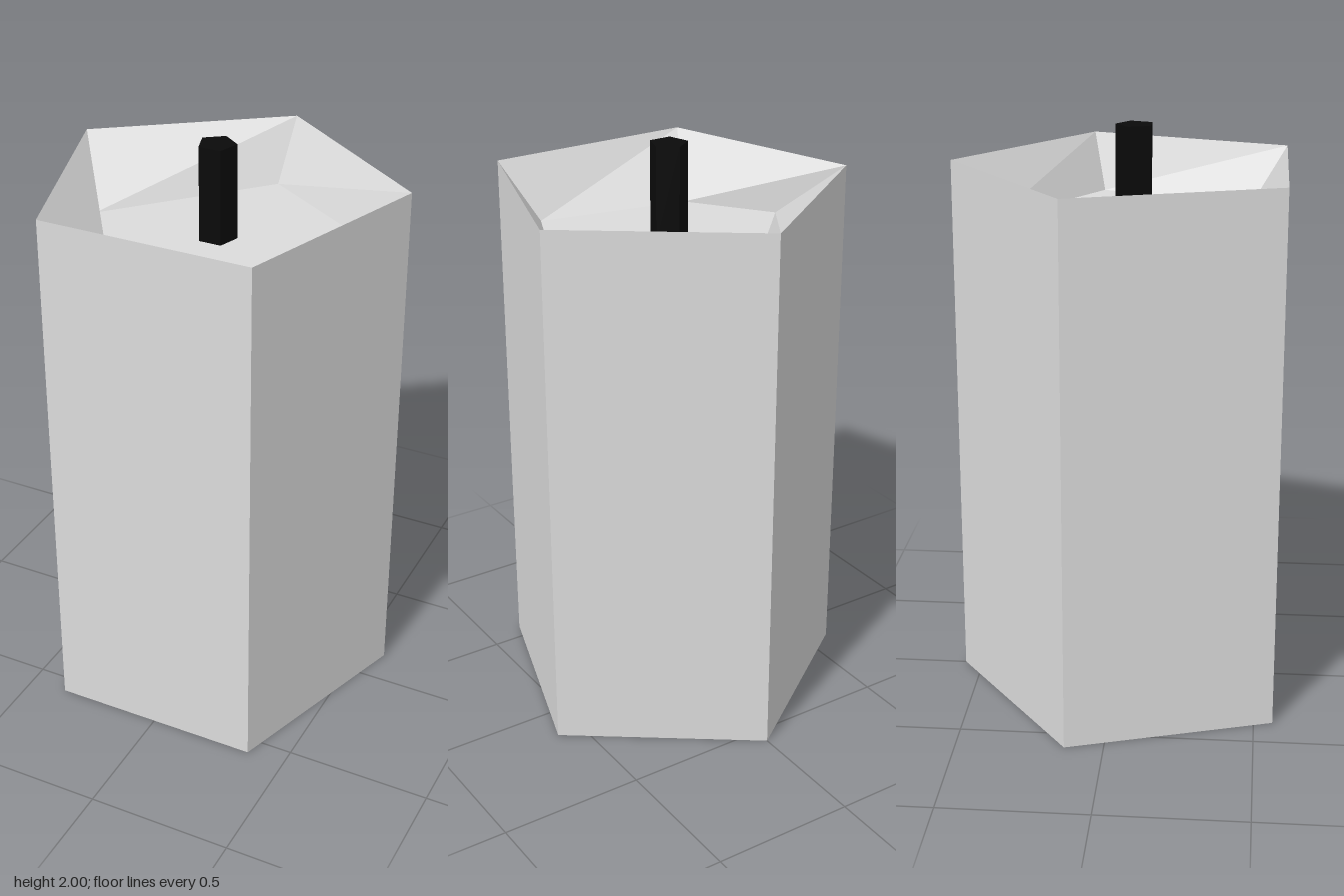
import * as THREE from 'three';

const SIDES = 5, RADIUS = 0.624, CENTRE_Z = 0.06;
const RIM_Y = 1.87, POOL_Y = 1.672, TOP_Y = 2;

// Regular pentagon with one corner to the back, counterclockwise from above
function pentagon(y) {
  return Array.from({ length: SIDES }, (_, i) => {
    const a = Math.PI + (i * 2 * Math.PI) / SIDES;
    return [RADIUS * Math.sin(a), y, CENTRE_Z + RADIUS * Math.cos(a)];
  });
}

// Flat-sided skin through successive rings, closed at the ends asked for
function skin(rings, { capStart = false, capEnd = false }) {
  const pos = [];
  const tri = (...corners) => corners.forEach((c) => pos.push(...c));
  for (let r = 0; r < rings.length - 1; r++) {
    const a = rings[r], b = rings[r + 1];
    for (let i = 0; i < SIDES; i++) {
      const j = (i + 1) % SIDES;
      tri(a[i], a[j], b[j]);
      tri(a[i], b[j], b[i]);
    }
  }
  const first = rings[0], last = rings[rings.length - 1];
  for (let i = 1; i < SIDES - 1; i++) {
    if (capStart) tri(first[0], first[i + 1], first[i]);
    if (capEnd) tri(last[0], last[i], last[i + 1]);
  }
  const geo = new THREE.BufferGeometry();
  geo.setAttribute('position', new THREE.Float32BufferAttribute(pos, 3));
  geo.computeVertexNormals();
  return geo;
}

export function createModel() {
  const model = new THREE.Group();
  model.name = 'candle';

  const wax = new THREE.MeshStandardMaterial({ color: 0xdcdcdc });
  wax.name = 'pale wax';
  const black = new THREE.MeshStandardMaterial({ color: 0x0a0a0a });
  black.name = 'wick black';

  const add = (name, geo, mat) => {
    const mesh = new THREE.Mesh(geo, mat);
    mesh.name = name;
    model.add(mesh);
    return mesh;
  };

  // Wax body: outer walls and base
  const rim = pentagon(RIM_Y);
  add('waxBody', skin([pentagon(0), rim], { capStart: true }), wax);

  // Melted hollow: uneven slopes from the rim down to a flat floor
  const floor = [[0, -0.415], [-0.45, 0.07], [-0.25, 0.345], [0.275, 0.44], [0.51, -0.09]]
    .map(([x, z]) => [x, POOL_Y, z]);
  add('meltedHollow', skin([rim, floor], { capEnd: true }), wax);

  // Wick standing on the floor of the hollow
  const height = TOP_Y - POOL_Y;
  const wickGeo = new THREE.CylinderGeometry(0.066, 0.066, height, SIDES, 1, false, Math.PI)
    .toNonIndexed();
  wickGeo.computeVertexNormals();
  add('wick', wickGeo, black).position.set(0, POOL_Y + height / 2, CENTRE_Z - 0.002);

  return model;
}
